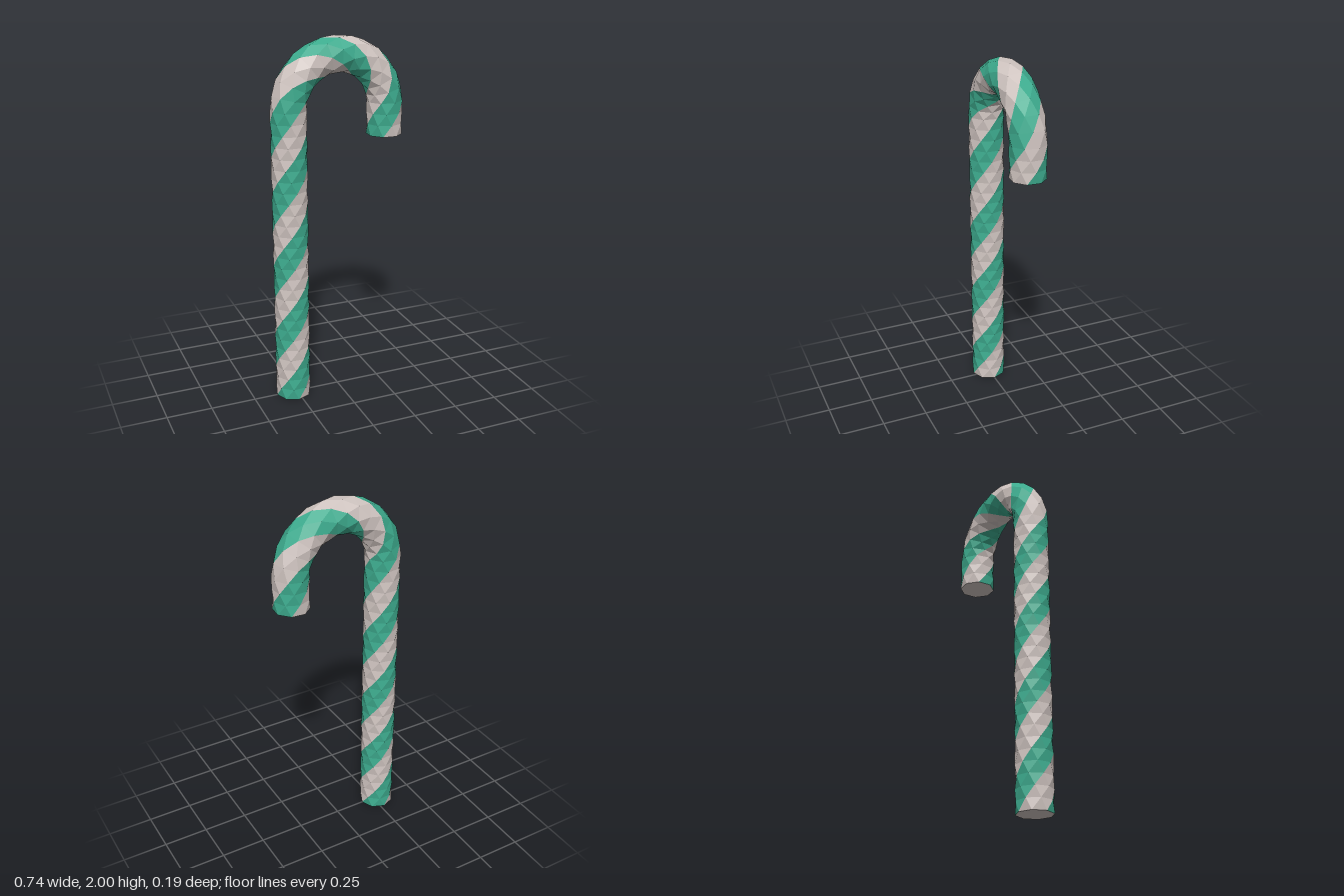
import * as THREE from 'three';

const SIDES = 8, RINGS = 44;
const RADIUS = 0.097;       // tube radius
const BEND = 0.271;         // hook centre-line radius
const LEG = 1.634;          // height of the straight shaft
const TIP = 0.174;          // straight drop after the hook
const PITCH = 0.8;          // length of one full turn of the twist
const ARC = Math.PI * BEND;
const LENGTH = LEG + ARC + TIP;

// Centre point and outward direction of the cane at distance s
function frameAt(s) {
  const a = THREE.MathUtils.clamp((s - LEG) / BEND, 0, Math.PI);
  const out = new THREE.Vector3(-Math.cos(a), Math.sin(a), 0);
  const centre = out.clone().multiplyScalar(BEND);
  centre.y += LEG + Math.min(0, s - LEG) - Math.max(0, s - LEG - ARC);
  return { centre, out };
}

// Corner j of the twisted octagon on ring i
function corner(i, j) {
  const s = (i / RINGS) * LENGTH;
  const { centre, out } = frameAt(s);
  const t = (j / SIDES + s / PITCH) * Math.PI * 2;
  const p = centre.addScaledVector(out, Math.cos(t) * RADIUS);
  p.z += Math.sin(t) * RADIUS;
  return p;
}

function meshFrom(points, material, name) {
  const geometry = new THREE.BufferGeometry().setFromPoints(points);
  geometry.computeVertexNormals(); // unshared corners give flat facets
  const mesh = new THREE.Mesh(geometry, material);
  mesh.name = name;
  return mesh;
}

// One spiral stripe, two facets wide, running the whole length
function stripe(first, material, name) {
  const points = [];
  for (let i = 0; i < RINGS; i++) {
    for (let j = first; j < first + 2; j++) {
      const a = corner(i, j), b = corner(i, j + 1);
      const c = corner(i + 1, j + 1), d = corner(i + 1, j);
      points.push(a, b, d, b, c, d);
    }
  }
  return meshFrom(points, material, name);
}

// Flat octagonal end
function cap(ring, material, name) {
  const points = [];
  const { centre } = frameAt((ring / RINGS) * LENGTH);
  for (let j = 0; j < SIDES; j++) {
    const a = corner(ring, j), b = corner(ring, j + 1);
    points.push(centre, ...(ring === 0 ? [b, a] : [a, b]));
  }
  return meshFrom(points, material, name);
}

export function createModel() {
  const green = new THREE.MeshStandardMaterial({ color: 0x3dab8e, flatShading: true });
  green.name = 'green';
  const white = new THREE.MeshStandardMaterial({ color: 0xcfc4c0, flatShading: true });
  white.name = 'warmWhite';

  const cane = new THREE.Group();
  cane.name = 'stripedCane';
  for (let k = 0; k < SIDES / 2; k++) {
    const isGreen = k % 2 === 0;
    cane.add(stripe(k * 2, isGreen ? green : white, isGreen ? 'greenStripe' : 'whiteStripe'));
  }
  cane.add(cap(0, white, 'bottomEnd'), cap(RINGS, white, 'hookEnd'));
  return cane;
}
